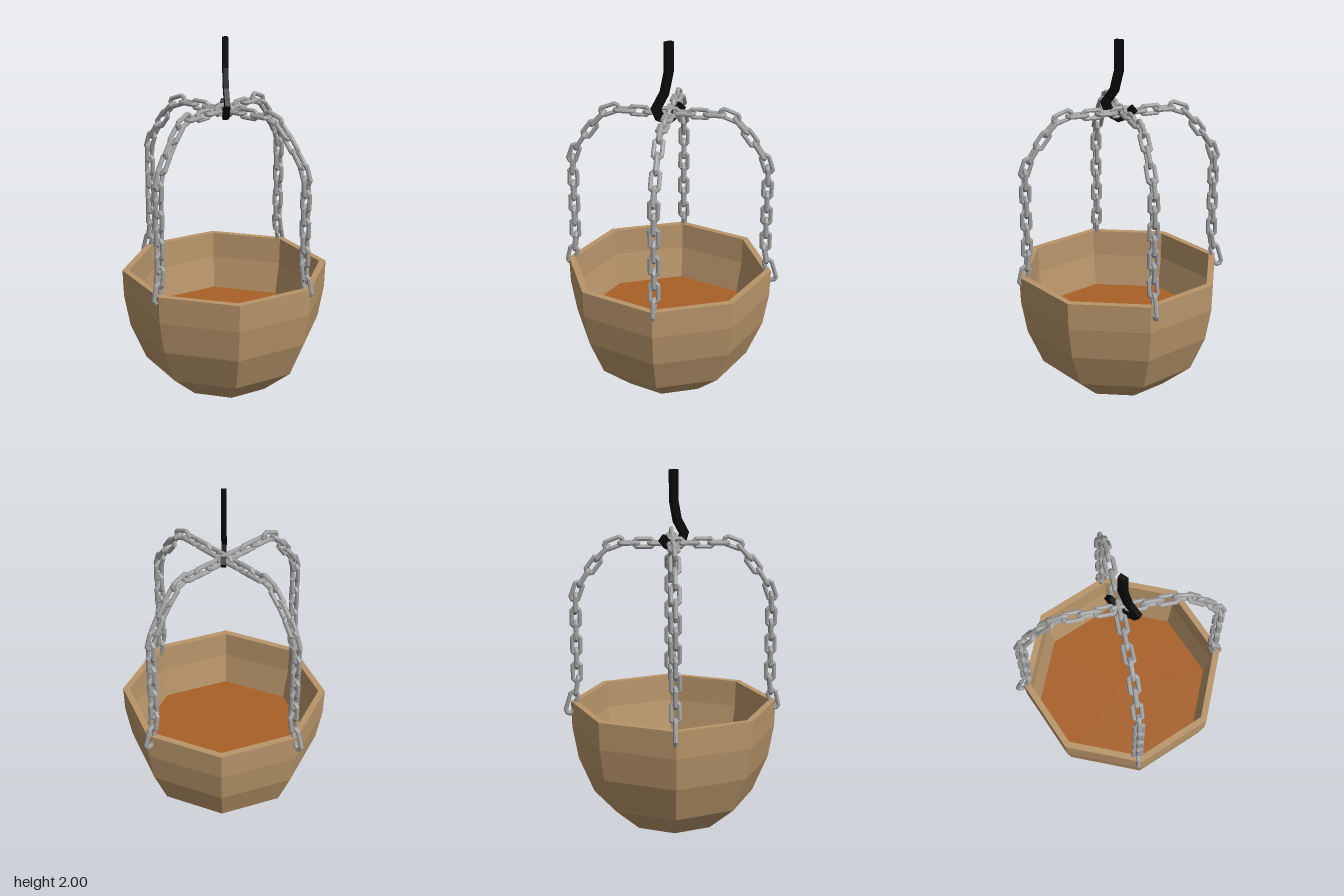
import * as THREE from 'three';

const paint = (color) => new THREE.MeshStandardMaterial({ color, flatShading: true });

// Chain link: a torus pulled apart along y into a long eight-sided ring
function linkGeometry() {
  const g = new THREE.TorusGeometry(0.0235, 0.0125, 8, 8);
  g.rotateZ(Math.PI / 8);
  const p = g.attributes.position;
  for (let i = 0; i < p.count; i++) p.setY(i, p.getY(i) + Math.sign(p.getY(i)) * 0.029);
  g.computeVertexNormals();
  return g;
}

// Chain arching over the bowl in the local xy plane
function makeChain(name, geometry, material) {
  const half = [[0.08, 1.612], [0.16, 1.613], [0.24, 1.613], [0.32, 1.612], [0.383, 1.558],
    [0.43, 1.495], [0.482, 1.425], [0.522, 1.352]];
  for (let y = 1.285; y > 0.8; y -= 0.0765) half.push([0.53, y]);
  const left = [...half, [0.55, 0.74]].map(([x, y]) => [-x, y]).reverse();
  const points = [...left, [0, 1.612], ...half, [0.56, 0.728]];
  const last = points.length - 1;
  const chain = new THREE.Group();
  chain.name = name;
  points.forEach(([x, y], i) => {
    const a = points[Math.max(i - 1, 0)], b = points[Math.min(i + 1, last)];
    const link = new THREE.Mesh(geometry, material);
    link.name = 'chainLink';
    link.position.set(x, y, 0);
    // every second link is turned a quarter about its own length
    link.rotation.order = 'ZYX';
    link.rotation.y = i % 2 ? Math.PI / 2 : 0;
    link.rotation.z = Math.atan2(b[1] - a[1], b[0] - a[0]) - Math.PI / 2;
    if (i === last) link.scale.y = 1.22;
    chain.add(link);
  });
  return chain;
}

// Flat bar bent along a centre line
function hookGeometry(path, width, depth) {
  const pts = path.map(([x, y]) => new THREE.Vector2(x, y));
  const side = (sign) => pts.map((p, i) => {
    const d0 = p.clone().sub(pts[Math.max(i - 1, 0)]).normalize();
    const d1 = pts[Math.min(i + 1, pts.length - 1)].clone().sub(p).normalize();
    const t = d0.clone().add(d1).normalize();
    const ref = i ? d0 : d1;
    const miter = sign * width / 2 / Math.max(t.dot(ref), 0.6);
    return new THREE.Vector2(p.x - t.y * miter, p.y + t.x * miter);
  });
  const shape = new THREE.Shape([...side(1), ...side(-1).reverse()]);
  return new THREE.ExtrudeGeometry(shape, { depth, bevelEnabled: false }).translate(0, 0, -depth / 2);
}

export function createModel() {
  const model = new THREE.Group();
  const add = (name, geometry, material) => {
    const mesh = new THREE.Mesh(geometry, material);
    mesh.name = name;
    model.add(mesh);
    return mesh;
  };

  // Eight-sided bowl: outer wall, rim, inner wall down past the soil
  const profile = [[0, 0.005], [0.275, 0.055], [0.445, 0.2], [0.53, 0.4], [0.562, 0.58], [0.567, 0.73],
    [0.53, 0.73], [0.526, 0.58], [0.492, 0.4], [0.45, 0.3]].map(([r, y]) => new THREE.Vector2(r, y));
  const bowlPaint = paint(0xb8956a);
  bowlPaint.side = THREE.DoubleSide;
  add('bowl', new THREE.LatheGeometry(profile, 8), bowlPaint);

  // Soil filling the bowl
  const soil = add('soil', new THREE.CircleGeometry(0.493, 8), paint(0xa86026));
  soil.rotation.x = -Math.PI / 2;
  soil.position.y = 0.4;

  // Two crossing chains
  const link = linkGeometry(), metal = paint(0xa0a0a0);
  const sideChain = makeChain('sideChain', link, metal);
  sideChain.position.z = -0.02;
  const frontChain = makeChain('frontChain', link, metal);
  frontChain.rotation.y = Math.PI / 2;
  frontChain.position.set(0.005, 0, -0.01);
  model.add(sideChain, frontChain);

  // Hook, set diagonally between the chains
  const hook = add('hook', hookGeometry([[0, 2], [0, 1.84], [-0.028, 1.73], [-0.082, 1.655],
    [-0.06, 1.605], [0, 1.583], [0.05, 1.605], [0.088, 1.645]], 0.045, 0.027), paint(0x0a0a0a));
  hook.rotation.y = Math.PI / 4;

  return model;
}
